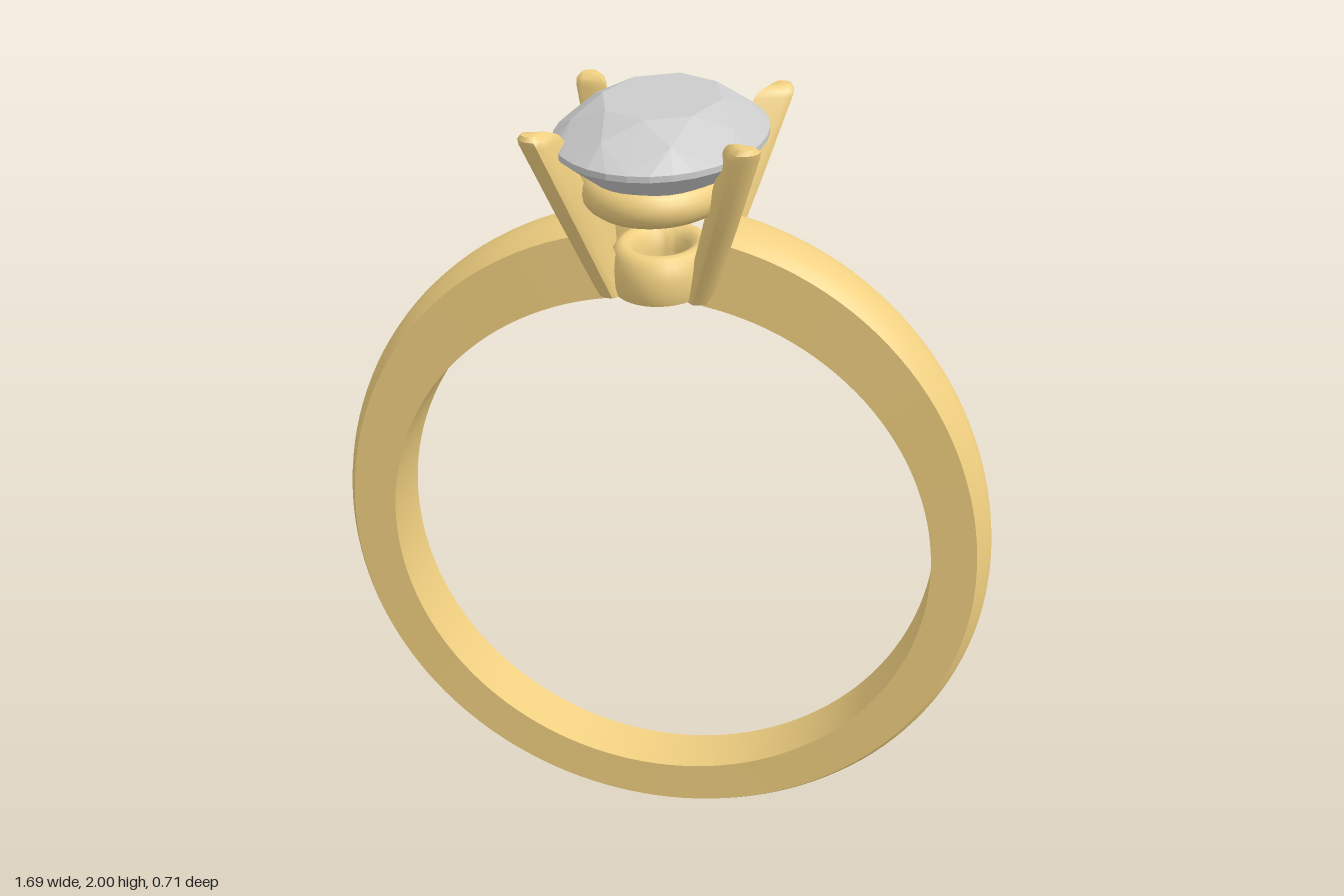
import * as THREE from 'three';
import { toCreasedNormals } from 'three/addons/utils/BufferGeometryUtils.js';
import { ConvexGeometry } from 'three/addons/geometries/ConvexGeometry.js';

const gold = new THREE.MeshStandardMaterial({ color: 0xf0cf80 });
const grey = new THREE.MeshStandardMaterial({ color: 0xcccccc, flatShading: true });

function part(name, geometry, material = gold) {
  const mesh = new THREE.Mesh(geometry, material);
  mesh.name = name;
  return mesh;
}

// Skin a list of equal cross-sections (counter-clockwise about the travel direction) and cap both ends
function loft(sections, crease) {
  const n = sections[0].length;
  const centre = (s) => s.reduce((c, p) => c.add(p), new THREE.Vector3()).divideScalar(n);
  const points = [...sections.flat(), centre(sections[0]), centre(sections.at(-1))];
  const first = n * sections.length, last = n * (sections.length - 1);
  const index = [];
  for (let i = 0; i < n; i++) {
    const j = (i + 1) % n;
    for (let k = 0; k < last; k += n) {
      index.push(k + i, k + j, k + n + j, k + i, k + n + j, k + n + i);
    }
    index.push(first, j, i, first + 1, last + i, last + j);
  }
  const g = new THREE.BufferGeometry().setFromPoints(points);
  g.setIndex(index);
  return toCreasedNormals(g, crease);
}

// Band: flat inside and sides, domed outside, wider and thicker toward the head, open at the top
function bandGeometry() {
  const centreY = 0.845, inner = 0.7, gap = 0.17, steps = 128, dome = 10;
  const sections = [];
  for (let s = 0; s <= steps; s++) {
    const a = gap + (s / steps) * (2 * Math.PI - 2 * gap);
    const c = Math.cos(a);
    const half = 0.086 + 0.015 * c;
    const shoulder = 0.812 + 0.05 * Math.max(0, c) ** 2;
    const profile = [[inner, -half]];
    for (let i = 0; i <= dome; i++) {
      const t = (i / dome) * 2 - 1;
      profile.push([shoulder + 0.031 * (1 - t * t), half * t]);
    }
    profile.push([inner, half]);
    sections.push(profile.map(([r, z]) => new THREE.Vector3(r * Math.sin(a), centreY + r * c, z)));
  }
  return loft(sections, 0.5);
}

// Prong: wedge section, sharp toward the stone and rounded outside, leaning outward
function prongGeometry(sx, sz) {
  const profile = [[-0.075, 0], [-0.01, -0.036], [0.012, -0.036], [0.026, -0.02], [0.031, 0],
    [0.026, 0.02], [0.012, 0.036], [-0.01, 0.036]];
  const u = new THREE.Vector3(sx, 0, sz).normalize();
  const v = new THREE.Vector3(0, 1, 0).cross(u);
  const foot = new THREE.Vector3(0.11 * sx, 1.54, 0.085 * sz);
  const tip = new THREE.Vector3(0.24 * sx, 1.973, 0.268 * sz);
  const levels = [[0, 0.8], [0.5, 0.95], [0.94, 1], [0.975, 0.9], [1, 0.55]];
  return loft(levels.map(([t, k]) => profile.map(([a, b]) =>
    foot.clone().lerp(tip, t).addScaledVector(u, a * k).addScaledVector(v, b * k))), 0.7);
}

// Oval brilliant: rings of points [count, radius, height, half-step offset] wrapped in a hull
function stoneGeometry() {
  const rings = [[8, 0.57, 2, 0], [8, 0.82, 1.966, 0.5], [32, 1, 1.924, 0],
    [32, 1, 1.91, 0], [8, 0.32, 1.761, 0.5], [1, 0, 1.7, 0]];
  const points = [];
  for (const [n, r, y, off] of rings) {
    for (let i = 0; i < n; i++) {
      const a = ((i + off) / n) * Math.PI * 2;
      points.push(new THREE.Vector3(0.245 * r * Math.cos(a), y, 0.357 * r * Math.sin(a)));
    }
  }
  return new ConvexGeometry(points);
}

// Oval closed curve for the gallery rail
class Oval extends THREE.Curve {
  getPoint(t, target = new THREE.Vector3()) {
    const a = t * Math.PI * 2;
    return target.set(0.145 * Math.cos(a), 1.81, 0.23 * Math.sin(a));
  }
}

// Collar: rounded oval ring with a flat underside
function collarGeometry() {
  const profile = [[0.5, 1.543], [0.95, 1.543], [1, 1.565], [1, 1.605], [0.95, 1.635], [0.86, 1.652],
    [0.75, 1.656], [0.63, 1.65], [0.54, 1.63], [0.5, 1.6], [0.5, 1.543]];
  const g = new THREE.LatheGeometry(profile.map(([r, y]) => new THREE.Vector2(r, y)), 48);
  g.scale(0.122, 1, 0.157);
  return toCreasedNormals(g, 0.8);
}

export function createModel() {
  const model = new THREE.Group();
  model.name = 'ring';
  model.add(part('band', bandGeometry()));

  const head = new THREE.Group();
  head.name = 'head';
  head.add(part('collar', collarGeometry()));
  head.add(part('galleryRail', new THREE.TubeGeometry(new Oval(), 64, 0.045, 16, true)));
  for (const sx of [1, -1]) {
    for (const sz of [1, -1]) {
      head.add(part(`${sz > 0 ? 'front' : 'back'}${sx > 0 ? 'Left' : 'Right'}Prong`, prongGeometry(sx, sz)));
    }
  }
  head.add(part('ovalStone', stoneGeometry(), grey));
  model.add(head);
  return model;
}
